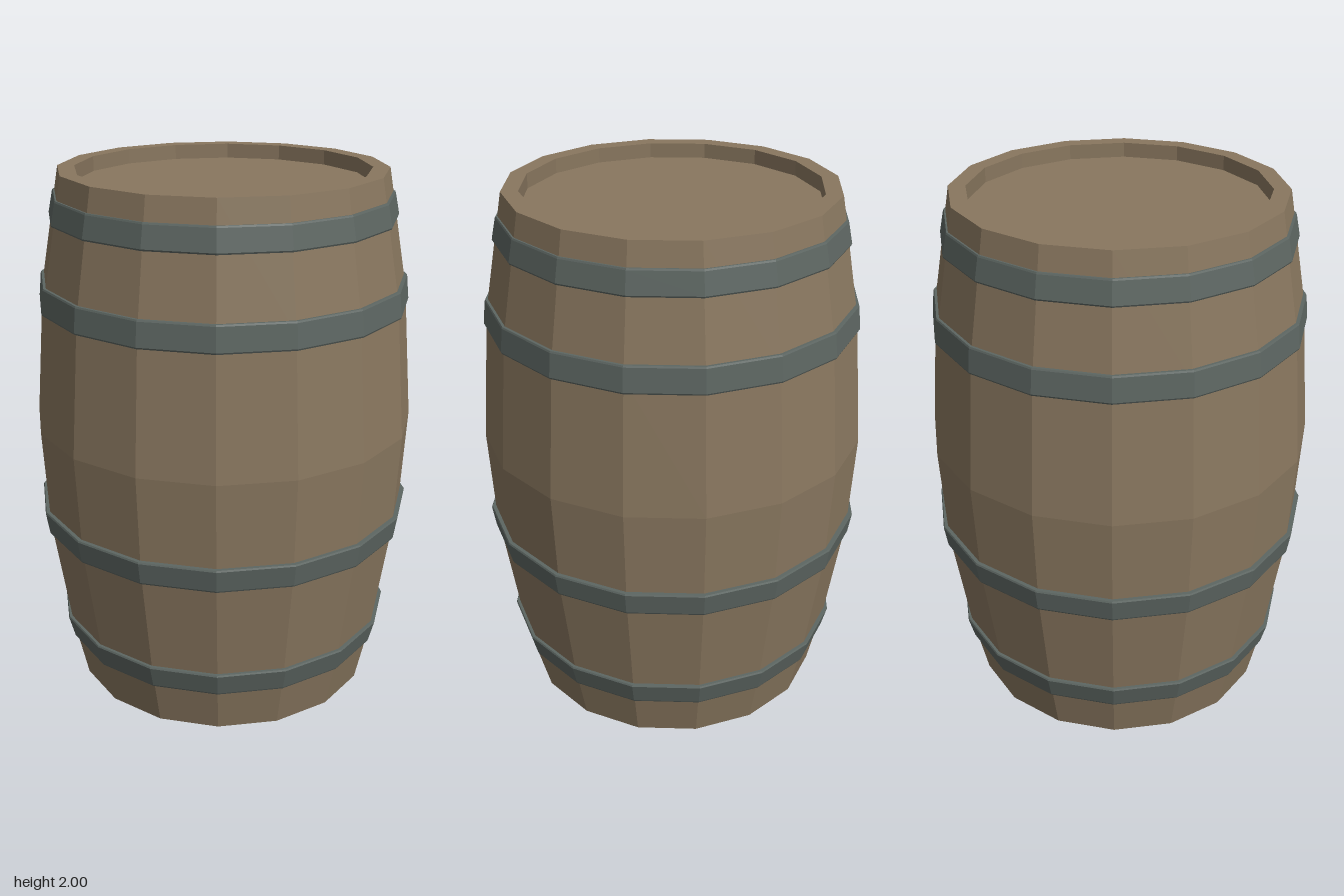
import * as THREE from 'three';

const SIDES = 16;

function mat(name, color) {
  const m = new THREE.MeshStandardMaterial({ color, flatShading: true });
  m.name = name;
  return m;
}

// Faceted ring or solid from an [radius, height] profile, listed bottom to top on the outside
function lathe(name, profile, material) {
  const points = profile.map(([r, y]) => new THREE.Vector2(r, y));
  const mesh = new THREE.Mesh(new THREE.LatheGeometry(points, SIDES), material);
  mesh.name = name;
  return mesh;
}

export function createModel() {
  const wood = mat('wood', 0x89775f);
  const iron = mat('iron', 0x5d6662);
  const barrel = new THREE.Group();
  barrel.name = 'barrel';

  // Bulging staves with closed base, raised rim and recessed lid
  barrel.add(lathe('staves', [
    [0, 0], [0.58, 0], [0.635, 0.25], [0.7, 0.68], [0.72, 1.06],
    [0.68, 1.56], [0.602, 2], [0.54, 2], [0.54, 1.945],
  ], wood));
  const lid = new THREE.Mesh(new THREE.CircleGeometry(0.54, SIDES), wood);
  lid.name = 'lid';
  lid.rotation.x = -Math.PI / 2;
  lid.position.y = 1.945;
  barrel.add(lid);

  // Iron hoops: bottom height, top height, bottom radius, top radius
  const hoops = [
    [0.175, 0.27, 0.63, 0.652],
    [0.645, 0.738, 0.707, 0.72],
    [1.51, 1.608, 0.693, 0.684],
    [1.825, 1.915, 0.642, 0.626],
  ];
  hoops.forEach(([y0, y1, r0, r1], i) => {
    const inset = 0.04;
    barrel.add(lathe(`hoop${i + 1}`, [
      [r0 - inset, y0], [r0 - 0.003, y0], [r0, y0 + 0.006],
      [r1, y1 - 0.006], [r1 - 0.003, y1], [r1 - inset, y1],
    ], iron));
  });

  return barrel;
}
